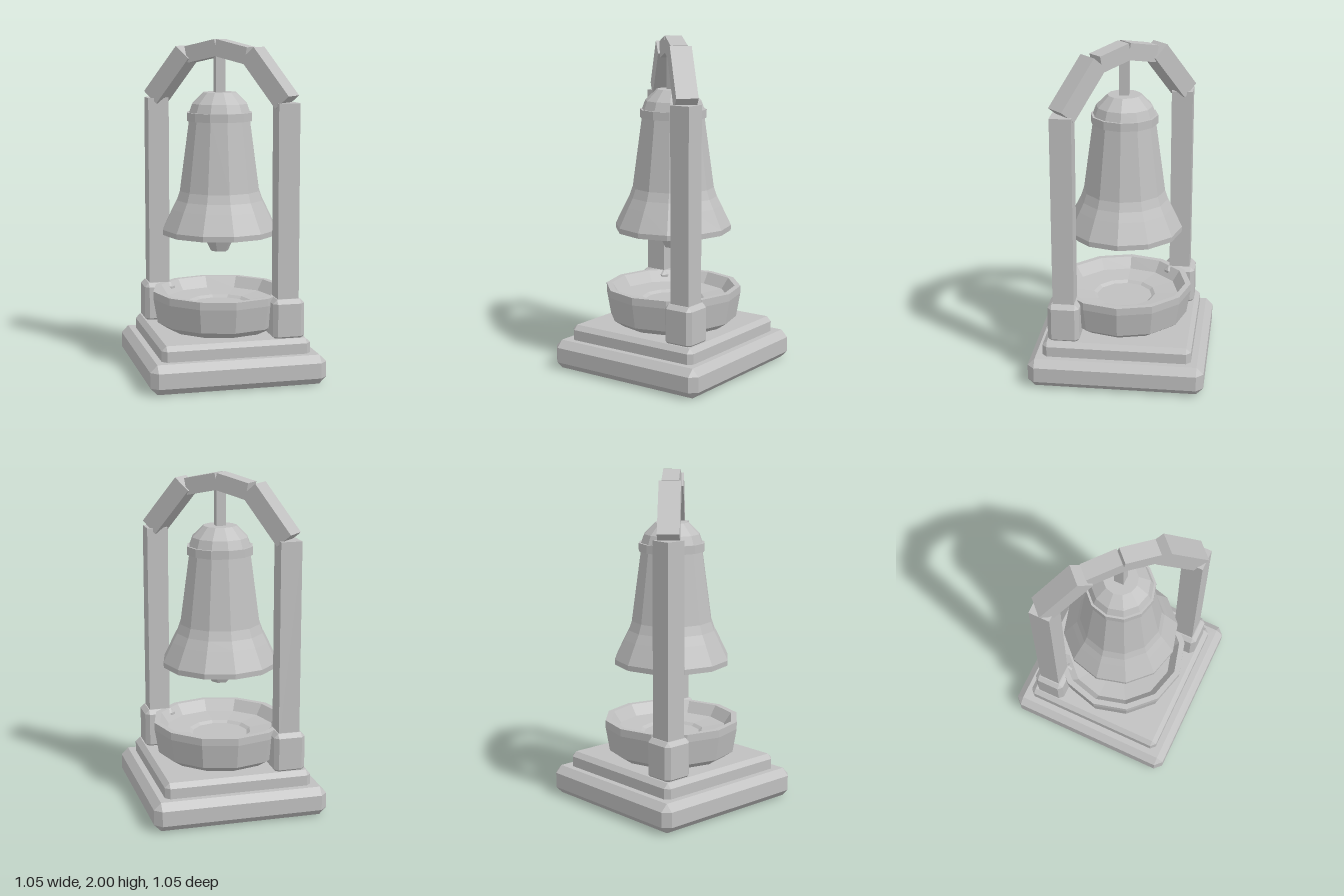
import * as THREE from 'three';
import { ConvexGeometry } from 'three/addons/geometries/ConvexGeometry.js';

const stone = new THREE.MeshStandardMaterial({ color: 0xc0c0c0 });
stone.name = 'greyStone';

function part(name, geometry, parent) {
  const mesh = new THREE.Mesh(geometry, stone);
  mesh.name = name;
  parent.add(mesh);
  return mesh;
}

// Box with every edge chamfered by c, standing on its own y = 0
function chamferBox(w, h, d, c) {
  const points = [];
  for (const x of [-1, 1]) for (const y of [-1, 1]) for (const z of [-1, 1]) {
    for (const [cx, cy, cz] of [[0, c, c], [c, 0, c], [c, c, 0]]) {
      points.push(new THREE.Vector3(x * (w / 2 - cx), h / 2 + y * (h / 2 - cy), z * (d / 2 - cz)));
    }
  }
  return new ConvexGeometry(points);
}

// Faceted solid of revolution with a corner on the x axis
function facetedLathe(profile, sides) {
  const points = profile.map(([r, y]) => new THREE.Vector2(r, y));
  const geometry = new THREE.LatheGeometry(points, sides, Math.PI / 2).toNonIndexed();
  geometry.computeVertexNormals();
  return geometry;
}

// Straight beam whose upper edge runs from a to b in the arch plane
function beam(name, a, b, thickness, width, parent) {
  const dx = b[0] - a[0], dy = b[1] - a[1], length = Math.hypot(dx, dy);
  const mesh = part(name, new THREE.BoxGeometry(length, thickness, width), parent);
  mesh.position.set(
    (a[0] + b[0]) / 2 + (dy / length) * thickness / 2,
    (a[1] + b[1]) / 2 - (dx / length) * thickness / 2, 0);
  mesh.rotation.z = Math.atan2(dy, dx);
}

export function createModel() {
  const model = new THREE.Group();
  model.name = 'bellShrine';

  // Stepped base
  part('baseSlab', chamferBox(1.05, 0.175, 1.05, 0.042), model);
  part('upperSlab', chamferBox(0.89, 0.135, 0.89, 0.028), model).position.y = 0.13;

  // Basin
  part('basin', facetedLathe([
    [0, 0.262], [0.32, 0.262], [0.385, 0.305], [0.41, 0.45], [0.41, 0.495], [0.375, 0.495],
    [0.33, 0.43], [0.19, 0.415], [0.17, 0.4], [0, 0.4],
  ], 12), model);

  // Posts on opposite corners, with their feet
  for (const s of [-1, 1]) {
    part('postFoot', chamferBox(0.19, 0.245, 0.19, 0.025), model).position.set(s * 0.32, 0.25, s * 0.32);
    part('post', new THREE.BoxGeometry(0.127, 1.19, 0.127), model).position.set(s * 0.32, 1.045, s * 0.32);
  }

  // Arch along the diagonal, two beams per side
  for (let i = 0; i < 2; i++) {
    const side = new THREE.Group();
    side.name = 'archSide';
    side.rotation.y = -Math.PI / 4 + i * Math.PI;
    beam('lowerArchBeam', [-0.5, 1.68], [-0.268, 1.957], 0.115, 0.127, side);
    beam('upperArchBeam', [-0.215, 1.955], [-0.008, 2], 0.1, 0.1, side);
    model.add(side);
  }

  // Hanger, hollow bell and clapper
  part('hanger', new THREE.BoxGeometry(0.058, 0.27, 0.058), model).position.y = 1.805;
  part('bell', facetedLathe([
    [0, 1.6], [0.13, 1.56], [0.17, 1.48], [0.22, 1.08], [0.31, 0.86], [0.315, 0.838],
    [0.348, 0.838], [0.35, 0.87], [0.292, 0.99], [0.264, 1.045], [0.245, 1.1], [0.188, 1.518],
    [0.2, 1.518], [0.2, 1.568], [0.187, 1.568], [0.168, 1.62], [0.1, 1.687], [0, 1.687],
  ], 12), model);
  part('clapper', facetedLathe([
    [0, 0.73], [0.053, 0.73], [0.085, 0.795], [0.06, 0.85], [0.045, 0.9], [0.025, 1.2], [0.022, 1.61],
  ], 6), model);

  return model;
}
